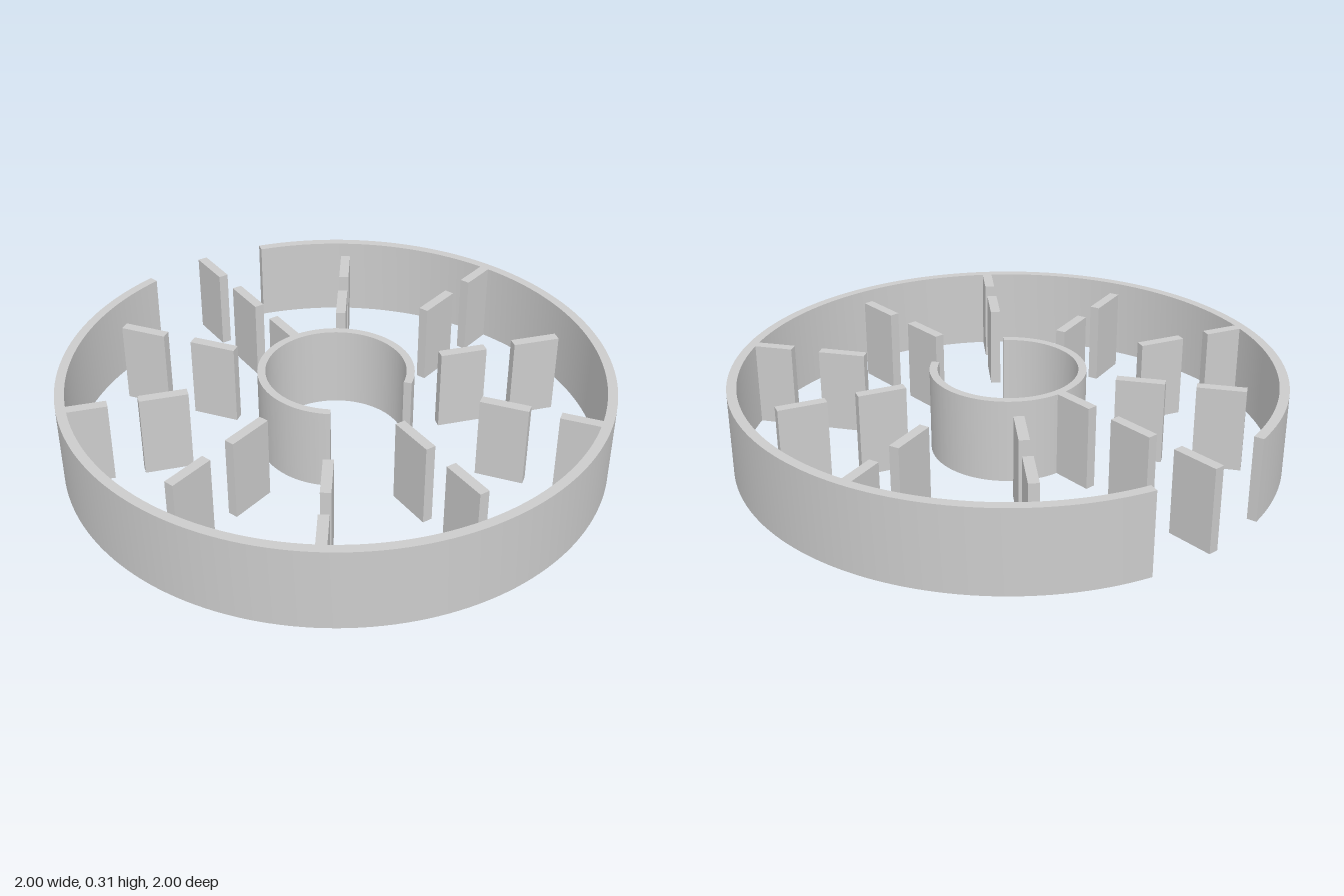
import * as THREE from 'three';
import { toCreasedNormals } from 'three/addons/utils/BufferGeometryUtils.js';

const HEIGHT = 0.31;
const FIN_THICKNESS = 0.037;
const material = new THREE.MeshStandardMaterial({ color: 0xcccccc });

// Upright ring with a gap; gapAngle is measured in plan, with PI / 2 towards -z
function openRing(name, outer, inner, gapAngle, halfGap) {
  const start = gapAngle + halfGap;
  const end = gapAngle - halfGap + Math.PI * 2;
  const shape = new THREE.Shape();
  shape.absarc(0, 0, outer, start, end, false);
  shape.absarc(0, 0, inner, end, start, true);
  shape.closePath();
  const geometry = new THREE.ExtrudeGeometry(shape, {
    depth: HEIGHT, bevelEnabled: false, curveSegments: 80,
  });
  geometry.rotateX(-Math.PI / 2);
  const mesh = new THREE.Mesh(toCreasedNormals(geometry, Math.PI / 6), material);
  mesh.name = name;
  return mesh;
}

// Radial upright plate between two radii; angle 0 points to the back (-z)
function fin(name, from, to, angle) {
  const geometry = new THREE.BoxGeometry(FIN_THICKNESS, HEIGHT, to - from);
  geometry.translate(0, HEIGHT / 2, -(from + to) / 2);
  const mesh = new THREE.Mesh(geometry, material);
  mesh.rotation.y = angle;
  mesh.name = name;
  return mesh;
}

export function createModel() {
  const model = new THREE.Group();
  model.name = 'finnedRing';

  // Outer wall open at the back, inner wall open at the front
  model.add(openRing('outerRing', 1, 0.965, Math.PI / 2, THREE.MathUtils.degToRad(14.6)));
  model.add(openRing('innerRing', 0.283, 0.254, -Math.PI / 2, THREE.MathUtils.degToRad(37.5)));

  // Ten spokes of fins, staggered alternately
  const fins = new THREE.Group();
  fins.name = 'fins';
  const spokes = 10;
  for (let i = 0; i < spokes; i++) {
    const angle = (i / spokes) * Math.PI * 2;
    const rows = i % 2 ? [[0.395, 0.57], [0.68, 0.855]] : [[0.54, 0.715], [0.823, 0.998]];
    rows.forEach(([from, to], row) => fins.add(fin(row ? 'outerFin' : 'middleFin', from, to, angle)));
  }
  // Single fin joined to the inner wall
  fins.add(fin('innerFin', 0.26, 0.435, 0));
  model.add(fins);

  return model;
}
